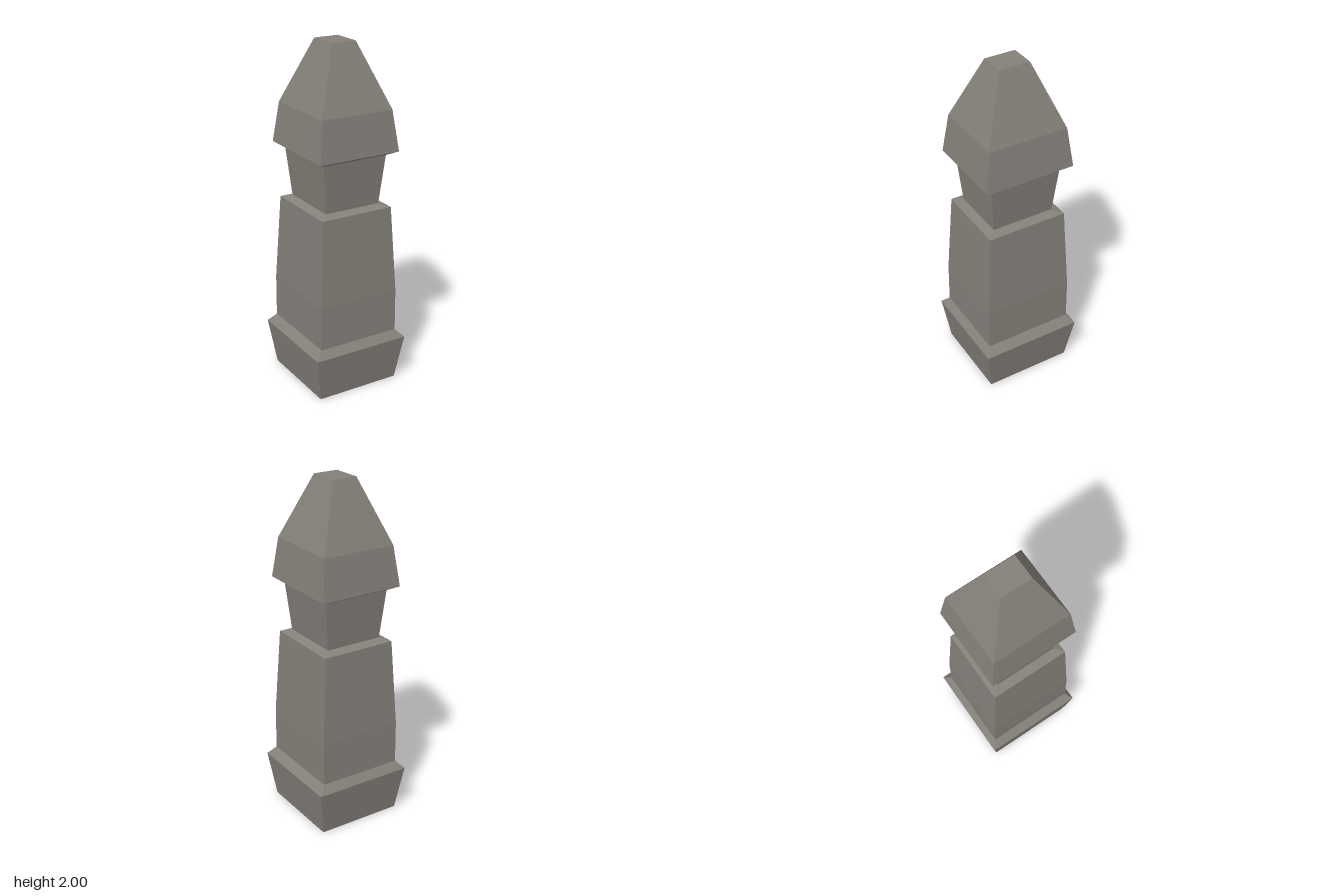
import * as THREE from 'three';

// Corner signs of a rectangular ring, counter-clockwise seen from above
const CORNERS = [[1, 1], [1, -1], [-1, -1], [-1, 1]];

// Rectangular rings [y, halfWidth, halfDepth] joined by flat faces, open below
function tower(rings, capped = false) {
  const ring = ([y, w, d]) => CORNERS.map(([sx, sz]) => [sx * w, y, sz * d]);
  const pos = [];
  const quad = (a, b, c, d) => pos.push(...a, ...b, ...c, ...a, ...c, ...d);
  for (let k = 0; k < rings.length - 1; k++) {
    const low = ring(rings[k]);
    const high = ring(rings[k + 1]);
    for (let i = 0; i < 4; i++) {
      const j = (i + 1) % 4;
      quad(low[i], low[j], high[j], high[i]);
    }
  }
  if (capped) quad(...ring(rings[rings.length - 1]));
  const geometry = new THREE.BufferGeometry();
  geometry.setAttribute('position', new THREE.Float32BufferAttribute(pos, 3));
  geometry.computeVertexNormals();
  return geometry;
}

export function createModel() {
  const group = new THREE.Group();
  group.name = 'stonePost';

  // The post is a hollow shell, open at the bottom
  const stone = new THREE.MeshStandardMaterial({ color: 0x85817a, side: THREE.DoubleSide });
  stone.name = 'stone';

  const add = (name, rings, capped) => {
    const mesh = new THREE.Mesh(tower(rings, capped), stone);
    mesh.name = name;
    group.add(mesh);
  };

  // Flared foot with a sloped shoulder
  add('base', [[0, 0.253, 0.262], [0.27, 0.293, 0.302], [0.317, 0.248, 0.266]]);
  // Tall body, straight then tapering, with a narrow ledge on top
  add('shaft', [[0.317, 0.248, 0.266], [0.57, 0.248, 0.264], [1.077, 0.221, 0.238], [1.094, 0.17, 0.187]]);
  // Recessed neck widening upwards
  add('neck', [[1.094, 0.17, 0.187], [1.378, 0.198, 0.213]]);
  // Overhanging head with a flat tip
  add('head', [[1.378, 0.198, 0.213], [1.404, 0.248, 0.266], [1.637, 0.219, 0.236], [2, 0.074, 0.091]], true);

  return group;
}
